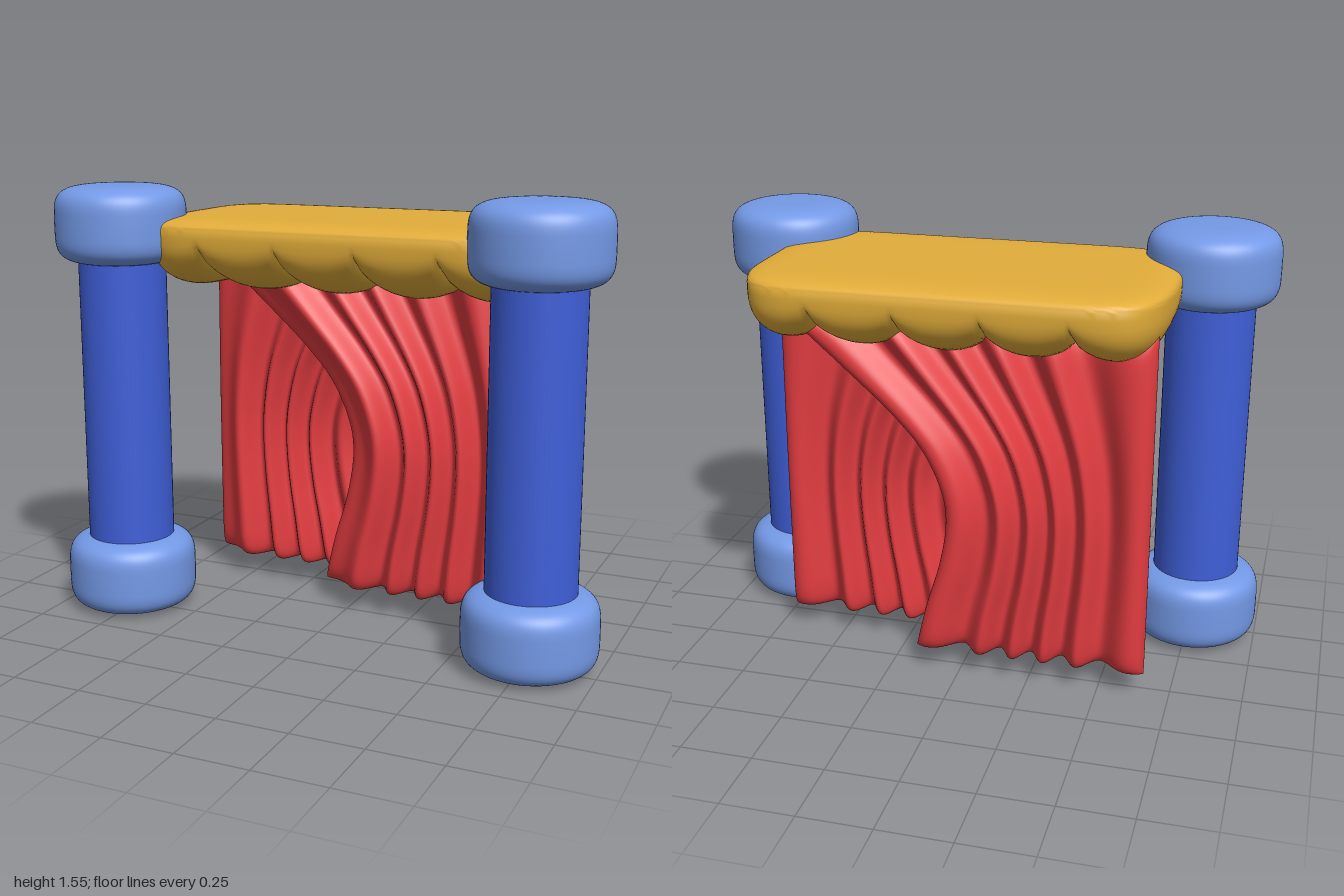
import * as THREE from 'three';
import { toCreasedNormals } from 'three/addons/utils/BufferGeometryUtils.js';

const paint = (color) => new THREE.MeshStandardMaterial({ color, side: THREE.DoubleSide });
const BLUE = paint(0x3f5fd8), PALE = paint(0x7499e6), GOLD = paint(0xe2ad3a), RED = paint(0xe23c40);
const spow = (v, p) => Math.sign(v) * Math.pow(Math.abs(v), p);

// Skin a stack of closed rings; point(i, j) gives ring i, corner j
function loft(rings, corners, point) {
  const pos = [], index = [];
  for (let i = 0; i <= rings; i++)
    for (let j = 0; j < corners; j++) pos.push(...point(i, j));
  for (let i = 0; i < rings; i++)
    for (let j = 0; j < corners; j++) {
      const k = (j + 1) % corners;
      const a = i * corners + j, b = i * corners + k;
      index.push(a, b, b + corners, a, b + corners, a + corners);
    }
  const geo = new THREE.BufferGeometry();
  geo.setAttribute('position', new THREE.Float32BufferAttribute(pos, 3));
  geo.setIndex(index);
  geo.computeVertexNormals();
  return geo;
}

function add(parent, name, geo, mat, x = 0, y = 0, z = 0) {
  const mesh = new THREE.Mesh(geo, mat);
  mesh.name = name;
  mesh.position.set(x, y, z);
  parent.add(mesh);
}

// Puffy cushion-like drum for pillar base and capital
function drumGeometry(r, h) {
  const pts = [];
  for (let i = 0; i <= 40; i++) {
    const t = -Math.PI / 2 + (Math.PI * i) / 40;
    pts.push(new THREE.Vector2(i % 40 ? r * spow(Math.cos(t), 0.46) : 0, h * spow(Math.sin(t), 0.46)));
  }
  return new THREE.LatheGeometry(pts, 64);
}

// Canopy: flat top, belly of five scallops running front to back
function canopyGeometry() {
  const lobes = 5, per = 20, x0 = -0.69, pitch = 0.287, n = 64;
  const half = (lobes * pitch) / 2, mid = x0 + half;
  return loft(lobes * per, n, (i, j) => {
    const lobe = Math.min(Math.floor(i / per), lobes - 1);
    let f = i / per - lobe;
    if (lobe === 0) f = 1 - Math.cos((f * Math.PI) / 2);
    if (lobe === lobes - 1) f = Math.sin((f * Math.PI) / 2);
    const x = x0 + (lobe + f) * pitch;
    const u = Math.min(1, Math.abs(x - mid) / half);
    const width = 0.412 * Math.pow(1 - Math.pow(u, 10), 0.4);
    const end = Math.pow(1 - Math.pow(u, 12), 0.3);
    const belly = end * (0.095 + 0.105 * Math.sqrt(1 - Math.pow(2 * f - 1, 2) * 0.999));
    const t = (2 * Math.PI * j) / n, c = -Math.cos(t), s = Math.sin(t);
    const top = s > 0;
    const y = 1.387 + (top ? 0.063 * end * spow(s, 0.4) : belly * spow(s, 0.76));
    return [x, y, -0.065 + width * spow(c, top ? 0.4 : 0.76)];
  });
}

// Free edge of the curtain, swept aside at the top: x for each height
const EDGE = [[0.08, -0.12], [0.25, -0.08], [0.42, -0.03], [0.58, -0.005], [0.7, -0.02],
  [0.85, -0.09], [0.97, -0.195], [1.1, -0.34], [1.28, -0.55]];
function edgeX(y) {
  let k = 0;
  while (k < EDGE.length - 2 && y > EDGE[k + 1][0]) k++;
  const P = (m) => EDGE[Math.max(0, Math.min(EDGE.length - 1, m))];
  const slope = (m) => (P(m + 1)[1] - P(m - 1)[1]) / (P(m + 1)[0] - P(m - 1)[0]);
  const h = P(k + 1)[0] - P(k)[0], t = (y - P(k)[0]) / h, t2 = t * t, t3 = t2 * t;
  return (2 * t3 - 3 * t2 + 1) * P(k)[1] + (t3 - 2 * t2 + t) * h * slope(k)
    + (3 * t2 - 2 * t3) * P(k + 1)[1] + (t3 - t2) * h * slope(k + 1);
}

// Thick pleated sheet with rounded borders: broad pleats at the sides, tight ones between.
// side -1 mirrors it
function curtainGeometry(side) {
  const rows = 60, cols = 140, bottom = 0.08, top = 1.3, outer = 0.7, mid = 0.02, folds = 5;
  return loft(rows, cols * 2, (i, j) => {
    const v = -Math.cos((Math.PI * i) / rows);
    const y = bottom + ((v + 1) / 2) * (top - bottom);
    const k = side > 0 ? j : 2 * cols - j;
    const front = k <= cols;
    const s = 0.5 - 0.5 * Math.cos((Math.PI * k) / cols);
    const e = edgeX(y);
    const x = e + (outer - e) * s;
    const round = Math.sqrt(Math.max(0, 1 - Math.pow(Math.abs(2 * s - 1), 14)))
      * Math.sqrt(Math.max(0, 1 - Math.pow(Math.abs(v), 20)));
    const fold = -0.035 * Math.cos(2 * Math.PI * folds * s * s * (3 - 2 * s));
    return [mid + side * (x - mid), y, -0.055 + fold + (front ? 1 : -1) * 0.07 * round];
  });
}

export function createModel() {
  const group = new THREE.Group();
  group.name = 'curtainedStage';

  // Pillars
  const shaft = new THREE.CylinderGeometry(0.155, 0.155, 1.16, 64);
  const drum = drumGeometry(0.232, 0.139);
  for (const side of [-1, 1]) {
    const pillar = new THREE.Group();
    pillar.name = side > 0 ? 'leftPillar' : 'rightPillar';
    pillar.position.set(side * 0.768, 0, 0.239);
    add(pillar, 'shaft', shaft, BLUE, 0, 0.78);
    add(pillar, 'base', drum, PALE, 0, 0.141);
    add(pillar, 'capital', drum, PALE, 0, 1.416);
    group.add(pillar);
  }

  // Canopy
  add(group, 'canopy', toCreasedNormals(canopyGeometry(), 0.8), GOLD);

  // Two overlapping curtains, drawn from opposite sides
  add(group, 'frontCurtain', curtainGeometry(1), RED);
  add(group, 'backCurtain', curtainGeometry(-1), RED, 0, 0, -0.195);
  return group;
}
